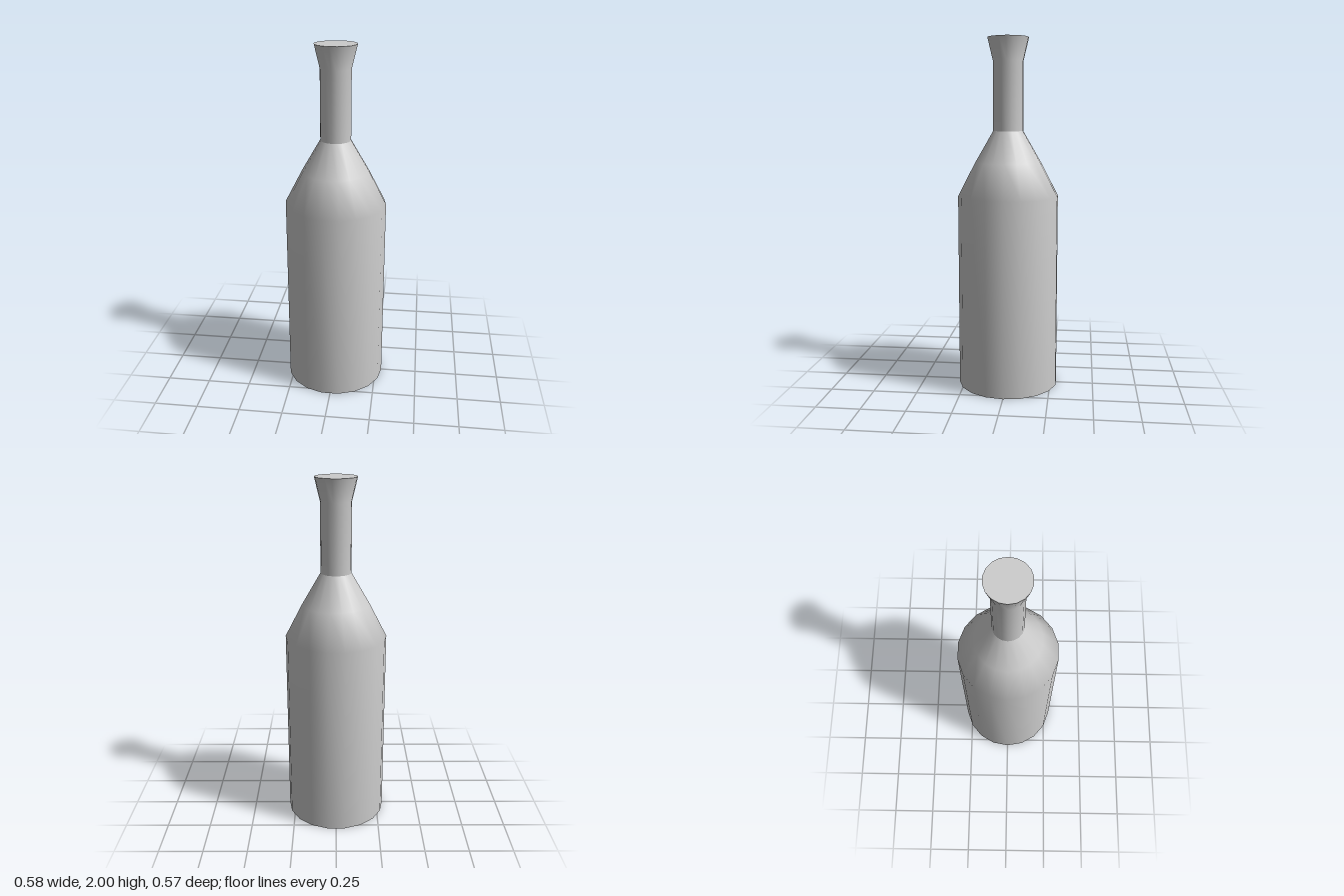
import * as THREE from 'three';

const SIDES = 18;

export function createModel() {
  const bottle = new THREE.Group();
  bottle.name = 'bottle';
  const material = new THREE.MeshStandardMaterial({ color: 0xcccccc });

  function add(name, geometry) {
    const mesh = new THREE.Mesh(geometry, material);
    mesh.name = name;
    bottle.add(mesh);
    return mesh;
  }

  // Turned wall from [radius, height] pairs, bottom to top, with a corner on +x
  function wall(name, profile) {
    const points = profile.map(([r, y]) => new THREE.Vector2(r, y));
    return add(name, new THREE.LatheGeometry(points, SIDES, Math.PI / 2));
  }

  // Flat disc facing up or down
  function cap(name, radius, y, up) {
    const disc = add(name, new THREE.CircleGeometry(radius, SIDES));
    disc.rotation.x = up ? -Math.PI / 2 : Math.PI / 2;
    disc.position.y = y;
  }

  // Straight body with a softly bulging shoulder
  wall('bodyAndShoulder', [[0.288, 0], [0.288, 1.11], [0.19, 1.3], [0.086, 1.48]]);

  // Neck flaring into the lip, with a sharp edge where it meets the shoulder
  wall('neckAndLip', [[0.086, 1.48], [0.086, 1.87], [0.117, 2]]);

  cap('base', 0.288, 0, false);
  cap('mouth', 0.117, 2, true);

  return bottle;
}
